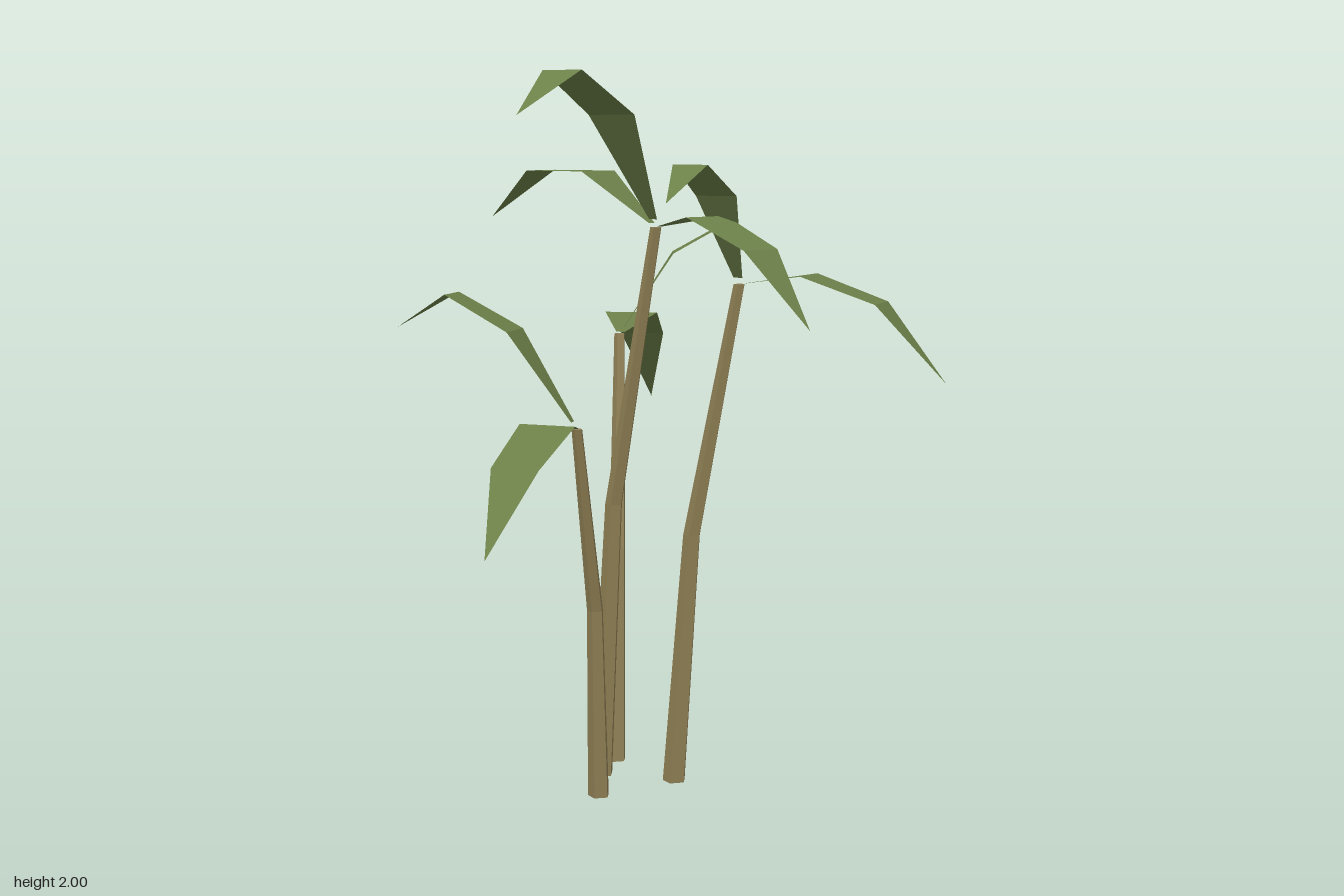
import * as THREE from 'three';

// One stalk: a five-sided prism whose rings are moved to root, bend and top.
function stalkGeometry(rings) {
  const geo = new THREE.CylinderGeometry(1, 1, 1, 5, 2, false, Math.PI / 2).toNonIndexed();
  const p = geo.attributes.position;
  for (let i = 0; i < p.count; i++) {
    const [x, y, z, r] = rings[Math.round((p.getY(i) + 0.5) * 2)];
    p.setXYZ(i, x + p.getX(i) * r, y, z + p.getZ(i) * r);
  }
  geo.computeVertexNormals();
  return geo;
}

// One leaf: a flat blade that arches through two wide ribs to a pointed tip.
function leafGeometry([bx, by, bz], { tip, y1, y2, width }) {
  const dx = tip[0] - bx, dz = tip[2] - bz, len = Math.hypot(dx, dz);
  const rib = (t, y, w) => [1, -1].map((s) => [
    bx + dx * t - s * dz / len * w / 2, y, bz + dz * t + s * dx / len * w / 2,
  ]);
  const start = 0.025;
  const rows = [
    rib(start, by + (y1 - by) * start / 0.34, 0.026),
    rib(0.34, y1, width),
    rib(0.69, y2, width * 0.84),
  ];
  const pos = [];
  for (let i = 0; i < 2; i++) {
    const [a, b] = rows[i], [c, d] = rows[i + 1];
    pos.push(...a, ...c, ...b, ...b, ...c, ...d);
  }
  pos.push(...rows[2][0], ...tip, ...rows[2][1]);
  const geo = new THREE.BufferGeometry();
  geo.setAttribute('position', new THREE.Float32BufferAttribute(pos, 3));
  geo.computeVertexNormals();
  return geo;
}

// Each plant: stalk centre line (root, bend, top), thickness and its leaves.
const plants = [
  {
    path: [[-0.278, 0, -0.155], [-0.304, 0.63, -0.197], [-0.387, 1.25, -0.303]], thick: 1,
    leaves: [
      { tip: [-0.725, 0.985, -0.84], y1: 1.295, y2: 1.21, width: 0.16 },
      { tip: [-0.04, 1.485, -0.61], y1: 1.49, y2: 1.58, width: 0.122 },
    ],
  },
  {
    path: [[-0.212, 0, -0.023], [-0.164, 0.8, -0.025], [-0.012, 1.585, -0.03]], thick: 1,
    leaves: [
      { tip: [-0.6, 1.6, 0.012], y1: 1.735, y2: 1.735, width: 0.15 },
      { tip: [0.565, 1.34, 0.04], y1: 1.62, y2: 1.54, width: 0.148 },
      { tip: [0.045, 1.885, 0.572], y1: 1.888, y2: 2, width: 0.15 },
    ],
  },
  {
    path: [[-0.083, 0, 0.133], [-0.065, 0.54, 0.165], [-0.022, 1.06, 0.282]], thick: 0.92,
    leaves: [
      { tip: [-0.485, 1.32, 0.495], y1: 1.32, y2: 1.415, width: 0.13 },
      { tip: [0.18, 0.815, 0.835], y1: 1.097, y2: 1.013, width: 0.155 },
    ],
  },
  {
    path: [[-0.012, 0, -0.112], [0.04, 0.72, -0.125], [0.165, 1.43, -0.175]], thick: 1,
    leaves: [
      { tip: [0.72, 1.18, -0.36], y1: 1.46, y2: 1.39, width: 0.152 },
      { tip: [0.295, 1.665, 0.292], y1: 1.675, y2: 1.76, width: 0.118 },
    ],
  },
];

export function createModel() {
  const stalkMat = new THREE.MeshStandardMaterial({ color: 0x8f8055, flatShading: true });
  stalkMat.name = 'stalkBrown';
  const leafMat = new THREE.MeshStandardMaterial({
    color: 0x6c8049, flatShading: true, side: THREE.DoubleSide,
  });
  leafMat.name = 'leafGreen';

  const model = new THREE.Group();
  model.name = 'leafyStalks';
  const radii = [0.034, 0.0255, 0.0165];

  plants.forEach(({ path, thick, leaves }, i) => {
    const plant = new THREE.Group();
    plant.name = `plant${i + 1}`;
    const rings = path.map((pt, k) => [...pt, radii[k] * thick]);
    const stalk = new THREE.Mesh(stalkGeometry(rings), stalkMat);
    stalk.name = 'stalk';
    plant.add(stalk);
    leaves.forEach((spec, k) => {
      const leaf = new THREE.Mesh(leafGeometry(path[2], spec), leafMat);
      leaf.name = `leaf${k + 1}`;
      plant.add(leaf);
    });
    model.add(plant);
  });
  return model;
}
